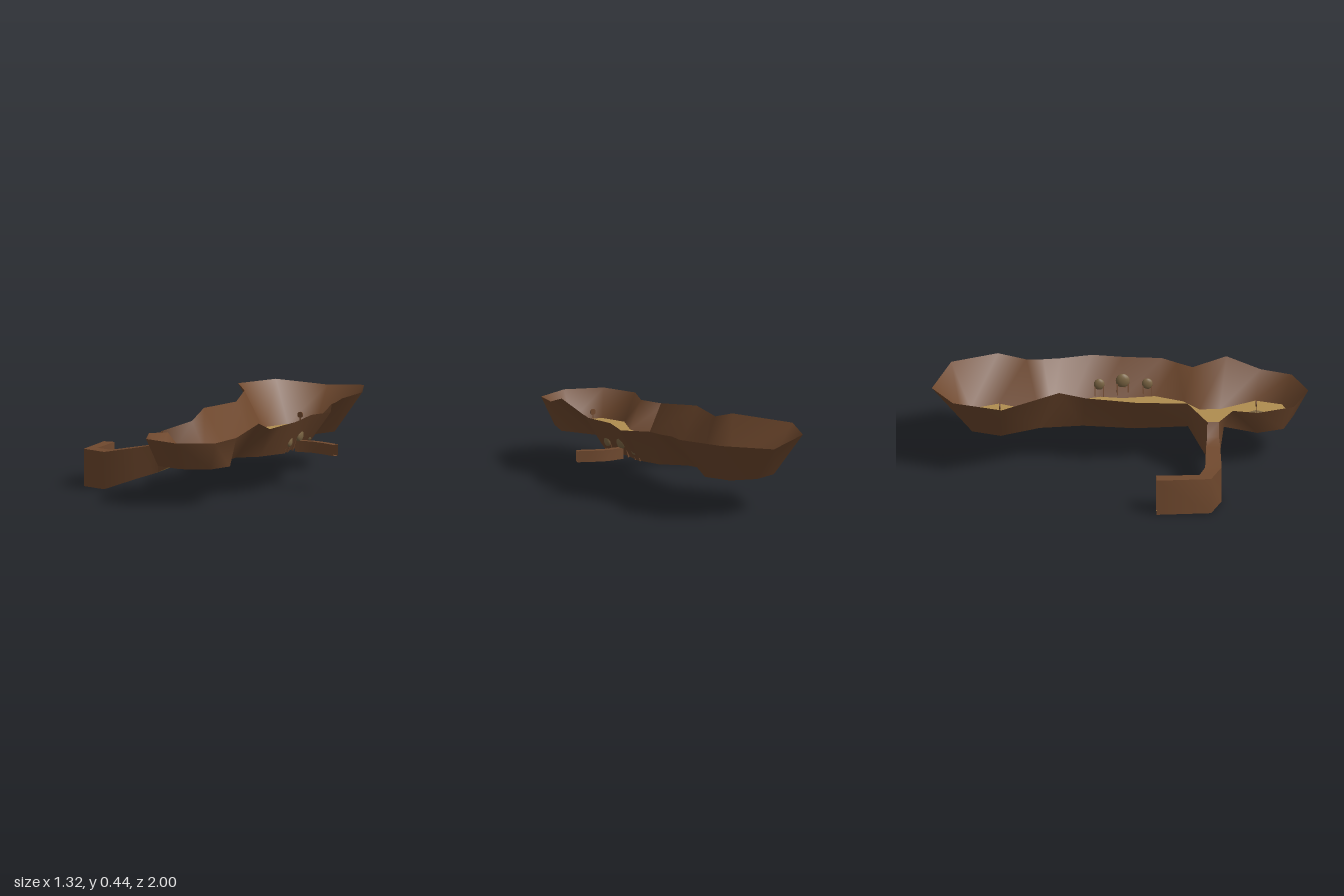
import * as THREE from 'three';

const mat = (name, color) => {
  const m = new THREE.MeshStandardMaterial({ color, side: THREE.DoubleSide });
  m.name = name;
  return m;
};

// Smooth surface lofted through rows of [x, y, z] points (all rows equally long)
function loft(rows) {
  const n = rows[0].length, index = [];
  for (let r = 0; r < rows.length - 1; r++) {
    for (let i = 0; i < n - 1; i++) {
      const a = r * n + i, b = a + 1, c = a + n, d = c + 1;
      index.push(a, c, b, b, c, d);
    }
  }
  const g = new THREE.BufferGeometry();
  g.setAttribute('position', new THREE.Float32BufferAttribute(rows.flat(2), 3));
  g.setIndex(index);
  g.computeVertexNormals();
  return g;
}

export function createModel() {
  const root = new THREE.Group();
  root.name = 'cavern';
  const rock = mat('brown rock', 0x70492e);
  const sand = mat('sandy floor', 0xb08d50);
  const stone = mat('dull stone', 0x7c6644);

  const add = (name, geo, material, x = 0, y = 0, z = 0, parent = root) => {
    const m = new THREE.Mesh(geo, material);
    m.name = name;
    m.position.set(x, y, z);
    parent.add(m);
    return m;
  };

  // Main chamber: floor outline (x, z), counter-clockwise from the side passage
  const Y = 0.2;
  const floor = [
    [0, .545], [-.08, .72], [-.035, .86], [.12, .915], [.27, .86], [.32, .72],
    [.22, .53], [.22, .42], [.32, .34], [.39, .19], [.37, .02], [.39, -.1],
    [.35, -.25], [.24, -.36], [.22, -.43], [.32, -.64], [.26, -.79], [.12, -.84],
    [-.02, -.79], [-.08, -.64], [.013, -.43], [.035, -.2], [-.005, .07], [.013, .355],
  ];
  // Matching flared rim (x, y, z)
  const rim = [
    [-.10, .34, .59], [-.15, .35, .72], [-.08, .35, .915], [.12, .35, .995], [.32, .35, .915], [.37, .36, .75],
    [.42, .415, .57], [.405, .36, .39], [.44, .37, .31], [.48, .38, .23], [.48, .39, .02], [.52, .385, -.14],
    [.45, .4, -.31], [.44, .4, -.4], [.43, .405, -.49], [.48, .42, -.64], [.38, .42, -.89], [.12, .39, -1],
    [-.135, .42, -.895], [-.24, .425, -.64], [-.065, .44, -.33], [-.05, .4, -.19], [-.115, .4, .085], [-.066, .37, .35],
  ];
  const shape = new THREE.Shape(floor.map(([x, z]) => new THREE.Vector2(x, -z)));
  const floorGeo = new THREE.ShapeGeometry(shape);
  floorGeo.rotateX(-Math.PI / 2);
  add('chamberFloor', floorGeo, sand, 0, Y, 0);

  // Walls run on into the funnel at the mouth of the side passage
  const base = floor.map(([x, z]) => [x, Y, z]);
  add('chamberWalls', loft([
    [[-.19, .11, .515], ...base, [-.19, .11, .45]],
    [[-.2, .32, .51], ...rim, [-.2, .32, .455]],
  ]), rock);

  // Side passage: descending and turning sections, [front x, z, back x, z, floor y, roof y]
  const sections = [
    [-.19, .515, -.19, .45, .11, .32],
    [-.23, .513, -.23, .45, .095, .25],
    [-.32, .517, -.32, .442, .065, .233],
    [-.5, .52, -.5, .432, 0, .2],
    [-.645, .46, -.592, .4, 0, .2],
    [-.658, .17, -.596, .17, 0, .2],
  ];
  const front = sections.map(([x, z, , , f, r]) => [[x, f, z], [x, r, z]]);
  const back = sections.map(([, , x, z, f, r]) => [[x, f, z], [x, r, z]]);
  add('passageFrontWall', loft(front.map(([f, r]) => [r, f])), rock);
  add('passageBackWall', loft(back), rock);
  add('passageRoof', loft(front.map((p, i) => [back[i][1], p[1]])), rock);
  add('passageFloor', loft([
    [[0, Y, .545], [.013, Y, .355]],
    ...front.map((p, i) => [p[0], back[i][0]]),
  ]), sand);

  // Small bent shaft on the left side, a square tube open at the ends
  const shaft = [[.4, .02], [.5, .02], [.58, .05], [.65, .085]].map(([x, z]) => {
    const dx = .007, dz = .016;
    return [[x + dx, .19, z - dz], [x + dx, .25, z - dz], [x - dx, .25, z + dz], [x - dx, .19, z + dz]];
  });
  for (let i = 0; i < 4; i++) {
    add('shaftSide', loft(shaft.map(s => [s[i], s[(i + 1) % 4]])), rock);
  }

  // Low rail across the alcove
  add('alcoveRail', new THREE.BoxGeometry(.004, .022, .55), rock, .225, Y + .011, .015);

  // Hexagonal pedestals, each with a post and a flat round marker
  for (const z of [-.64, .72]) {
    const g = new THREE.Group();
    g.name = 'pedestal';
    g.position.set(.12, Y, z);
    const hex = new THREE.CylinderGeometry(.05, .042, .016, 6);
    hex.rotateY(Math.PI / 2);
    add('pedestalBase', hex, stone, 0, .008, 0, g);
    add('pedestalPost', new THREE.BoxGeometry(.006, .06, .004), rock, 0, .042, 0, g);
    const disc = new THREE.CylinderGeometry(.016, .016, .006, 12);
    disc.rotateX(Math.PI / 2);
    add('pedestalMarker', disc, rock, 0, .078, 0, g);
    root.add(g);
  }

  // Three oval-backed seats on two legs, the middle one larger
  for (const [z, s] of [[-.105, .85], [.02, 1.1], [.15, .85]]) {
    const g = new THREE.Group();
    g.name = 'ovalSeat';
    g.position.set(.41, Y, z);
    g.scale.setScalar(s);
    const oval = add('seatOval', new THREE.SphereGeometry(.034, 12, 8), stone, 0, .075, 0, g);
    oval.scale.set(.5, 1.1, 1);
    for (const side of [-1, 1]) {
      const leg = add('seatLeg', new THREE.BoxGeometry(.008, .066, .007), rock, -.016, .03, side * .026, g);
      leg.rotation.z = -.3;
    }
    root.add(g);
  }
  return root;
}
